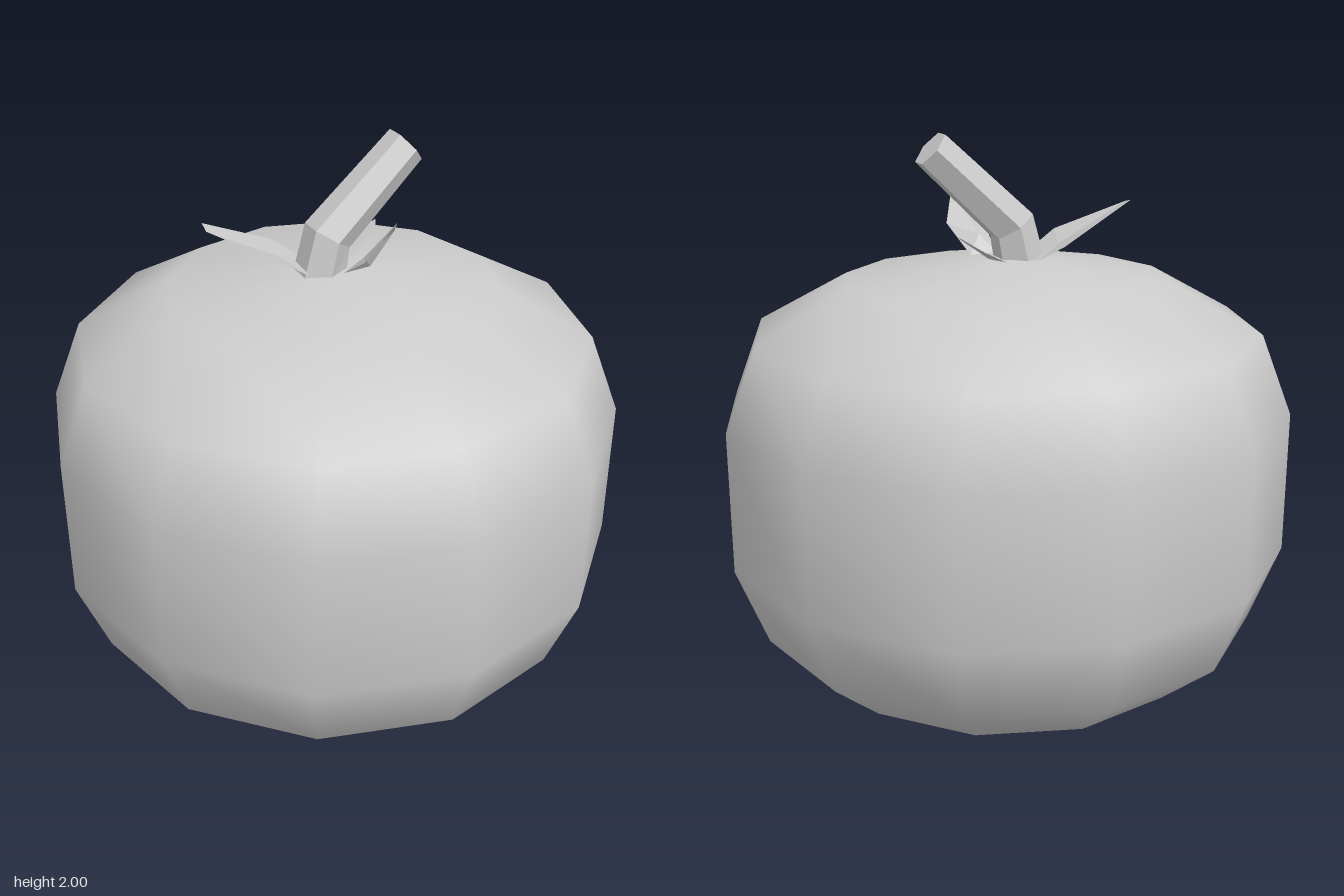
import * as THREE from 'three';

const grey = (options = {}) => new THREE.MeshStandardMaterial({ color: 0xcccccc, ...options });

function meshFromTriangles(name, points, faces, material) {
  const geometry = new THREE.BufferGeometry();
  geometry.setAttribute('position', new THREE.Float32BufferAttribute(points.flat(), 3));
  geometry.setIndex(faces.flat());
  const flat = geometry.toNonIndexed();
  flat.computeVertexNormals();
  const mesh = new THREE.Mesh(flat, material);
  mesh.name = name;
  return mesh;
}

// Smooth twelve-sided fruit body
function createBody() {
  const profile = [
    [0, 0], [0.25, 0.015], [0.67, 0.17], [0.86, 0.33], [0.965, 0.6],
    [0.965, 1.08], [0.86, 1.35], [0.55, 1.52], [0.1, 1.585], [0, 1.59],
  ].map(([r, y]) => new THREE.Vector2(r, y));
  const body = new THREE.Mesh(new THREE.LatheGeometry(profile, 12), grey());
  body.name = 'fruitBody';
  return body;
}

// Six-sided stem, bent once; each ring lies across the path
function createStem() {
  const sides = 6;
  const rings = [
    { x: -0.05, y: 1.57, u: [0.075, 0], rz: 0.085 },
    { x: -0.02, y: 1.695, u: [0.06, -0.038], rz: 0.083 },
    { x: 0.26, y: 1.955, u: [0.04, -0.045], rz: 0.07 },
  ];
  const points = [], faces = [];
  for (const { x, y, u, rz } of rings) {
    for (let i = 0; i < sides; i++) {
      const a = (i / sides) * Math.PI * 2;
      const c = Math.sin(a) / Math.sin(Math.PI / 3);
      points.push([x + u[0] * c, y + u[1] * c, rz * Math.cos(a)]);
    }
  }
  for (let r = 0; r < rings.length - 1; r++) {
    for (let i = 0; i < sides; i++) {
      const a = r * sides + i, b = r * sides + (i + 1) % sides;
      faces.push([a, b, b + sides], [a, b + sides, a + sides]);
    }
  }
  // Cut end
  const top = (rings.length - 1) * sides;
  for (let i = 1; i < sides - 1; i++) faces.push([top, top + i, top + i + 1]);
  return meshFromTriangles('stem', points, faces, grey({ flatShading: true }));
}

// Folded leaf: a fan of edge points around a point on the crease
function createLeaf(name, crease, edge) {
  const faces = edge.map((_, i) => [0, i + 1, (i + 1) % edge.length + 1]);
  return meshFromTriangles(name, [crease, ...edge], faces,
    grey({ flatShading: true, side: THREE.DoubleSide }));
}

export function createModel() {
  const model = new THREE.Group();
  model.name = 'fruit';
  model.add(createBody(), createStem());
  model.add(
    createLeaf('longLeaf', [-0.17, 1.63, -0.05], [
      [-0.07, 1.59, -0.12], [-0.14, 1.64, -0.17], [-0.41, 1.77, -0.1],
      [-0.415, 1.76, -0.05], [-0.21, 1.66, 0.08], [-0.12, 1.6, 0.07],
    ]),
    createLeaf('frontLeaf', [0.05, 1.65, 0.12], [
      [0, 1.59, 0.08], [0, 1.68, 0.22], [0.115, 1.79, 0.215],
      [0.18, 1.7, 0.08], [0.1, 1.59, 0.07],
    ]),
    createLeaf('smallLeaf', [0.1, 1.615, -0.06], [
      [0.02, 1.58, -0.08], [0.07, 1.59, -0.02], [0.17, 1.66, -0.03],
      [0.2, 1.68, -0.085], [0.12, 1.63, -0.12],
    ]),
  );
  return model;
}
